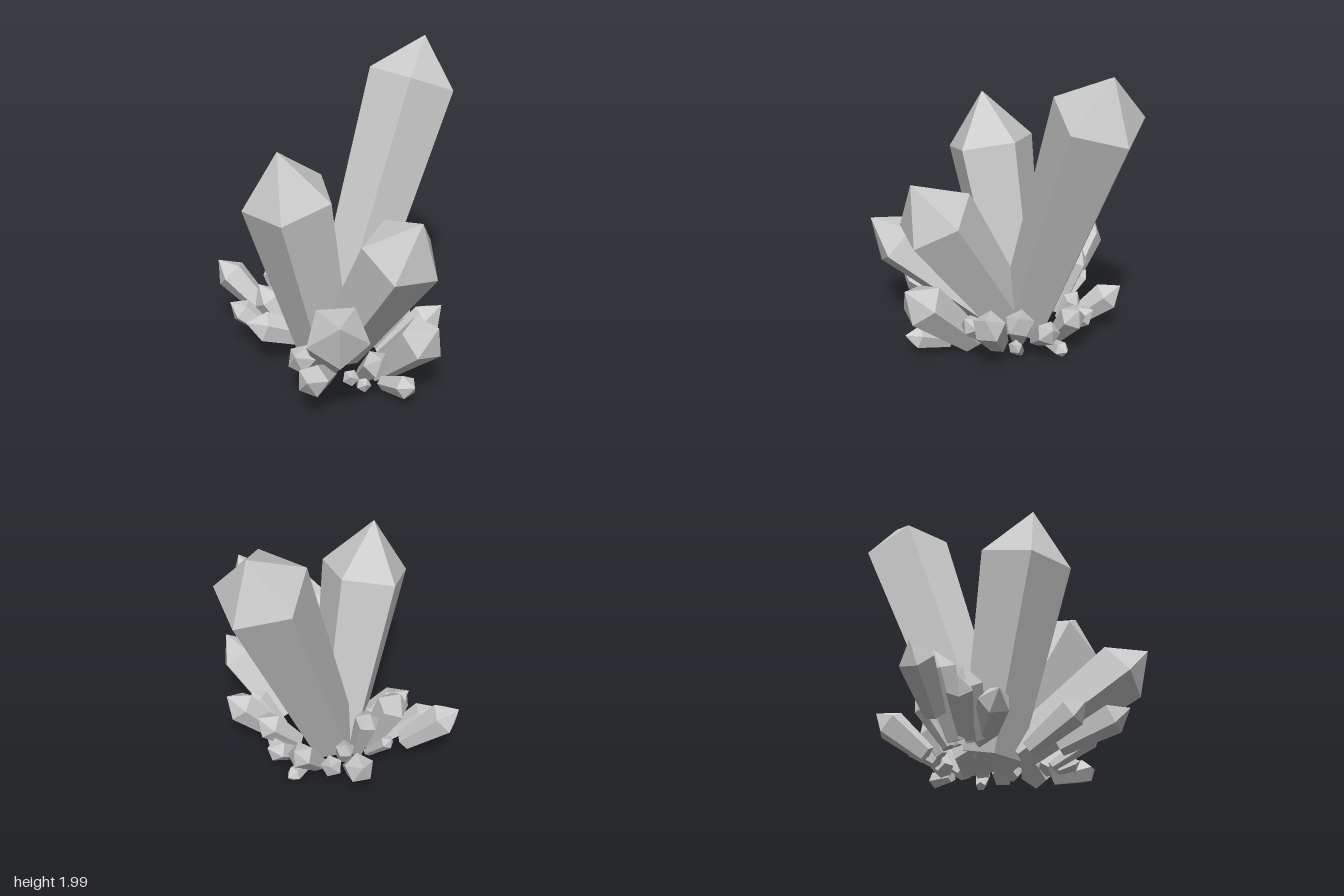
import * as THREE from 'three';

const material = new THREE.MeshStandardMaterial({ color: 0xcccccc, flatShading: true });

// Five-sided crystal: narrow foot, wider shoulder, pointed tip
function crystal(name, [base, apex, radius, tip = radius * 1.15]) {
  const foot = new THREE.Vector3(...base);
  const axis = new THREE.Vector3(...apex).sub(foot);
  const length = axis.length();
  const profile = [[0, 0], [radius * 0.62, 0], [radius, length - tip], [0, length]]
    .map(([x, y]) => new THREE.Vector2(x, y));
  const geometry = new THREE.LatheGeometry(profile, 5).rotateY(Math.PI / 2);
  const mesh = new THREE.Mesh(geometry, material);
  mesh.name = name;
  mesh.position.copy(foot);
  // Lean towards z first, then towards x
  axis.normalize();
  mesh.rotation.set(Math.asin(axis.z), 0, Math.atan2(-axis.x, axis.y), 'ZYX');
  return mesh;
}

// Each crystal: foot, apex, shoulder radius, optional tip height
const clusters = {
  mainCrystal: [
    [[-0.13, 0.1, -0.045], [0.725, 2, -0.045], 0.288, 0.29],
    [[-0.2, 0.1, -0.045], [-0.59, 1.58, -0.045], 0.288, 0.335],
    [[-0.17, 0.12, 0.03], [-0.2, 1.24, 0.745], 0.26, 0.3],
    [[-0.27, 0.12, 0.07], [-0.83, 0.79, 0.685], 0.195, 0.235],
  ],
  frontCrystal: [
    [[-0.145, 0.09, 0.36], [-0.15, 0.575, 0.845], 0.15, 0.17],
    [[-0.23, 0.08, 0.48], [-0.28, 0.19, 0.78], 0.075],
    [[0.02, 0.1, 0.27], [0.26, 0.45, 0.53], 0.108],
    [[-0.03, 0.1, 0.29], [0.01, 0.35, 0.52], 0.07],
    [[-0.27, 0.09, 0.34], [-0.39, 0.37, 0.61], 0.088],
    [[0.09, 0.03, 0.15], [0.18, 0.16, 0.265], 0.047],
    [[-0.34, 0.09, 0.32], [-0.56, 0.28, 0.51], 0.052],
    [[-0.33, 0.08, 0.38], [-0.41, 0.15, 0.5], 0.047],
  ],
  rightCrystal: [
    [[-0.15, 0.13, -0.09], [-0.6, 0.33, -0.36], 0.1],
    [[-0.48, 0.16, 0.24], [-0.86, 0.35, 0.45], 0.1],
    [[-0.39, 0.13, 0.08], [-0.73, 0.37, 0.215], 0.092],
  ],
  leftCrystal: [
    [[0.04, 0.11, 0.12], [0.265, 0.39, 0.275], 0.095],
    [[0.12, 0.08, -0.11], [0.385, 0.38, -0.1], 0.088],
    [[0.1, 0.09, 0.03], [0.385, 0.3, 0.11], 0.078],
    [[0.14, 0.06, -0.04], [0.355, 0.085, -0.03], 0.051],
    [[0.08, 0.1, -0.21], [0.275, 0.27, -0.305], 0.072],
  ],
  backCrystal: [
    [[-0.26, 0.22, -0.53], [-0.395, 0.54, -0.845], 0.107],
    [[-0.33, 0.13, -0.36], [-0.52, 0.36, -0.6], 0.08],
    [[-0.28, 0.14, -0.24], [-0.4, 0.5, -0.455], 0.1],
    [[-0.19, 0.14, -0.3], [-0.21, 0.64, -0.515], 0.107],
    [[0.05, 0.11, -0.32], [0.26, 0.37, -0.54], 0.098],
    [[-0.09, 0.13, -0.27], [0, 0.58, -0.42], 0.082],
    [[0.02, 0.12, -0.23], [0.1, 0.33, -0.31], 0.063],
    [[-0.22, 0.14, -0.22], [-0.24, 0.42, -0.315], 0.047],
    [[-0.13, 0.14, -0.24], [-0.08, 0.48, -0.355], 0.05],
    [[-0.13, 0.11, -0.33], [-0.09, 0.35, -0.535], 0.047],
  ],
};

export function createModel() {
  const group = new THREE.Group();
  group.name = 'crystalCluster';
  for (const [name, list] of Object.entries(clusters)) {
    list.forEach((spec, i) => group.add(crystal(`${name}${i + 1}`, spec)));
  }
  return group;
}
